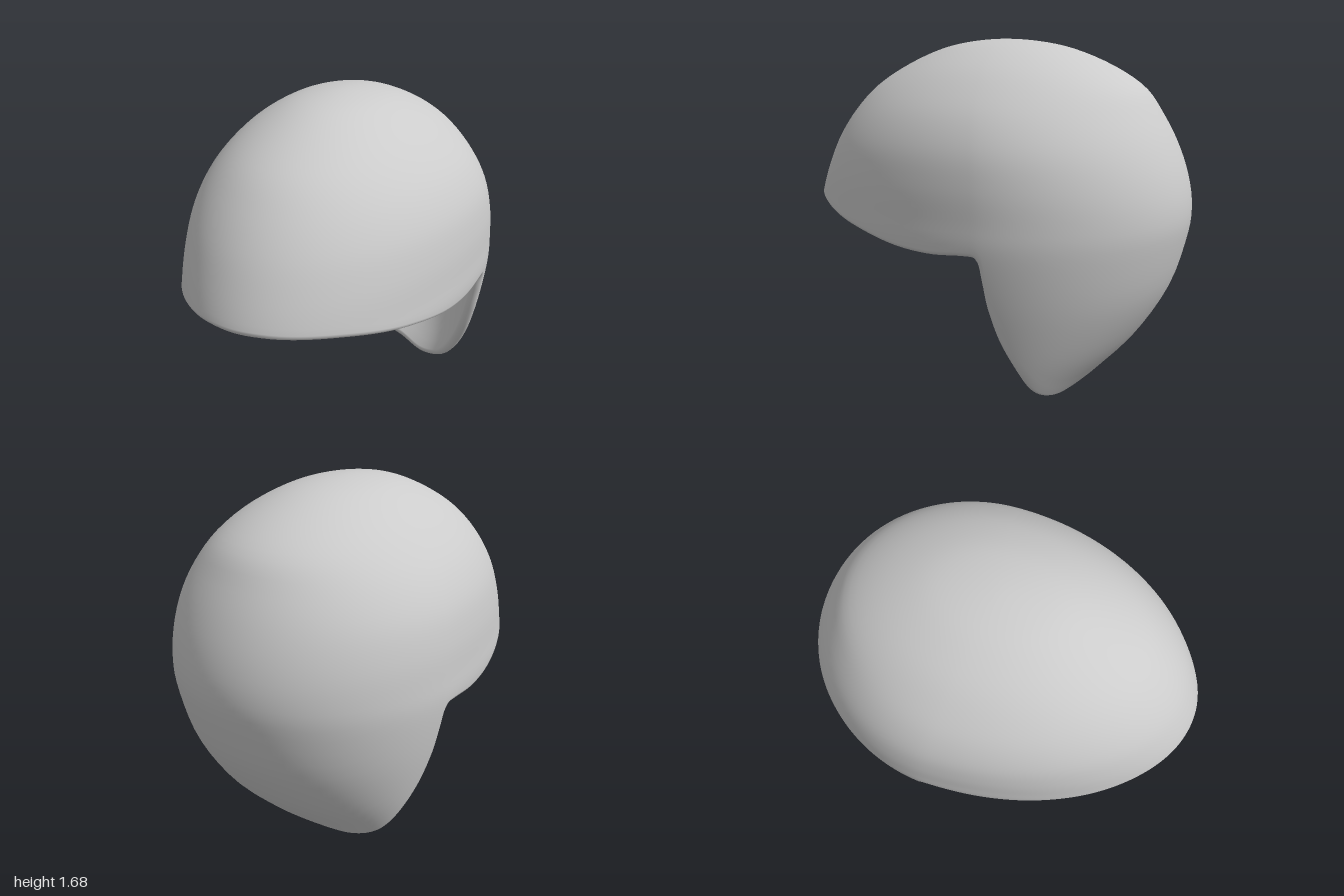
import * as THREE from 'three';
import { mergeVertices } from 'three/addons/utils/BufferGeometryUtils.js';

// Level cross-sections, bottom to crown: height, half width, z of widest point, reach forward, reach back
const SECTIONS = [
  [-0.05, 0.50, -0.31, 1.20, 0.19],
  [0.05, 0.55, -0.30, 1.25, 0.28],
  [0.25, 0.625, -0.26, 1.25, 0.50],
  [0.50, 0.69, -0.22, 1.24, 0.69],
  [0.75, 0.728, -0.20, 1.23, 0.785],
  [0.90, 0.727, -0.20, 1.20, 0.80],
  [1.05, 0.717, -0.19, 1.135, 0.785],
  [1.20, 0.685, -0.17, 1.04, 0.75],
  [1.34, 0.615, -0.14, 0.91, 0.705],
  [1.46, 0.515, -0.11, 0.76, 0.65],
  [1.56, 0.40, -0.09, 0.58, 0.52],
  [1.64, 0.26, -0.07, 0.38, 0.35],
  [1.68, 0.135, -0.055, 0.20, 0.19],
  [1.695, 0, -0.05, 0, 0],
];
const TOP = SECTIONS.length - 1;

// Edge of one side, front to back: [z, y]
const EDGE = [
  [0.8, 0.888], [0.5, 0.825], [0.2, 0.772], [0, 0.762], [-0.15, 0.774], [-0.22, 0.774],
  [-0.255, 0.742], [-0.275, 0.64], [-0.295, 0.5], [-0.345, 0.32], [-0.42, 0.13],
  [-0.455, 0.06], [-0.5, 0.027],
];

const HALF = 0.028;   // half the shell thickness
const COLS = 260, ROWS = 44, ROUND = 8;

// Smooth section at a fractional level s; beyond the crown it mirrors so the dome closes smoothly
function section(s) {
  const i = Math.min(Math.floor(s), TOP - 1), t = s - i;
  const [y, w, c, f, b] = SECTIONS[TOP - 1];
  const row = k => k < 0 ? SECTIONS[0] : k > TOP ? [y, -w, c, -f, -b] : SECTIONS[k];
  const [p0, p1, p2, p3] = [row(i - 1), row(i), row(i + 1), row(i + 2)];
  return p1.map((v, k) => v + 0.5 * t * (p2[k] - p0[k]
    + t * (2 * p0[k] - 5 * v + 4 * p2[k] - p3[k]
    + t * (3 * (v - p2[k]) + p3[k] - p0[k]))));
}

// Outer surface: angle runs from the front round to the back
function surface(angle, s) {
  const [y, w, c, front, back] = section(s), k = Math.cos(angle);
  return new THREE.Vector3(w * Math.sin(angle), y, c + k * (k > 0 ? front : back));
}

function outward(angle, s) {
  const e = 0.002, m = Math.min(s, TOP - 0.02);
  const across = surface(angle + e, m).sub(surface(angle - e, m));
  const up = surface(angle, m + e).sub(surface(angle, m - e));
  return across.cross(up).normalize();
}

function levelAt(y) {
  let lo = 0, hi = TOP;
  for (let i = 0; i < 40; i++) {
    const mid = (lo + hi) / 2;
    if (section(mid)[0] < y) lo = mid; else hi = mid;
  }
  return lo;
}

// Edge line as (angle, level) pairs around the whole opening
function edgeLoop() {
  const point = (angle, y) => new THREE.Vector3(angle * 2, levelAt(y), 0);
  const points = EDGE.map(([z, y]) => {
    const [, , c, front, back] = section(levelAt(y));
    const d = z - c;
    return point(Math.acos(THREE.MathUtils.clamp(d / (d > 0 ? front : back), -1, 1)), y);
  });
  points.unshift(point(0, 0.912), point(0.2, 0.911));
  points.push(point(2.8, 0.055), point(3.0, 0.07), point(Math.PI, 0.073));
  const half = new THREE.CatmullRomCurve3(points, false, 'centripetal').getSpacedPoints(COLS / 2);
  const loop = half.map(p => ({ angle: p.x / 2, s: p.y }));
  for (let j = COLS / 2 - 1; j > 0; j--) loop.push({ angle: -loop[j].angle, s: loop[j].s });
  return loop;
}

function shellGeometry() {
  const loop = edgeLoop(), positions = [], index = [];
  const rim = loop.map(p => surface(p.angle, p.s));
  loop.forEach(({ angle, s }, j) => {
    const column = [];
    const level = i => s + (TOP - s) * i / ROWS;
    // lining, from the crown down
    for (let i = ROWS; i >= 0; i--) {
      column.push(surface(angle, level(i)).addScaledVector(outward(angle, level(i)), -2 * HALF));
    }
    // rounded lip
    const n = outward(angle, s);
    const along = rim[(j + 1) % COLS].clone().sub(rim[(j + COLS - 1) % COLS]);
    const out = along.cross(n).normalize();
    for (let i = 1; i < ROUND; i++) {
      const a = Math.PI * i / ROUND;
      column.push(rim[j].clone().addScaledVector(n, -HALF * (1 + Math.cos(a)))
        .addScaledVector(out, HALF * 0.85 * Math.sin(a)));
    }
    // outside, from the lip up to the crown
    for (let i = 0; i <= ROWS; i++) column.push(surface(angle, level(i)));
    column.forEach(p => positions.push(p.x, p.y, p.z));
  });
  const n = 2 * ROWS + ROUND + 1;
  for (let j = 0; j < COLS; j++) {
    const a = j * n, b = ((j + 1) % COLS) * n;
    for (let i = 0; i < n - 1; i++) {
      index.push(a + i, b + i, b + i + 1, a + i, b + i + 1, a + i + 1);
    }
  }
  let geometry = new THREE.BufferGeometry();
  geometry.setAttribute('position', new THREE.Float32BufferAttribute(positions, 3));
  geometry.setIndex(index);
  geometry = mergeVertices(geometry, 1e-5);
  geometry.computeVertexNormals();
  return geometry;
}

export function createModel() {
  const group = new THREE.Group();
  group.name = 'helmet';
  const shell = new THREE.Mesh(shellGeometry(),
    new THREE.MeshStandardMaterial({ color: 0xcccccc, side: THREE.DoubleSide }));
  shell.name = 'helmetShell';
  group.add(shell);
  return group;
}
